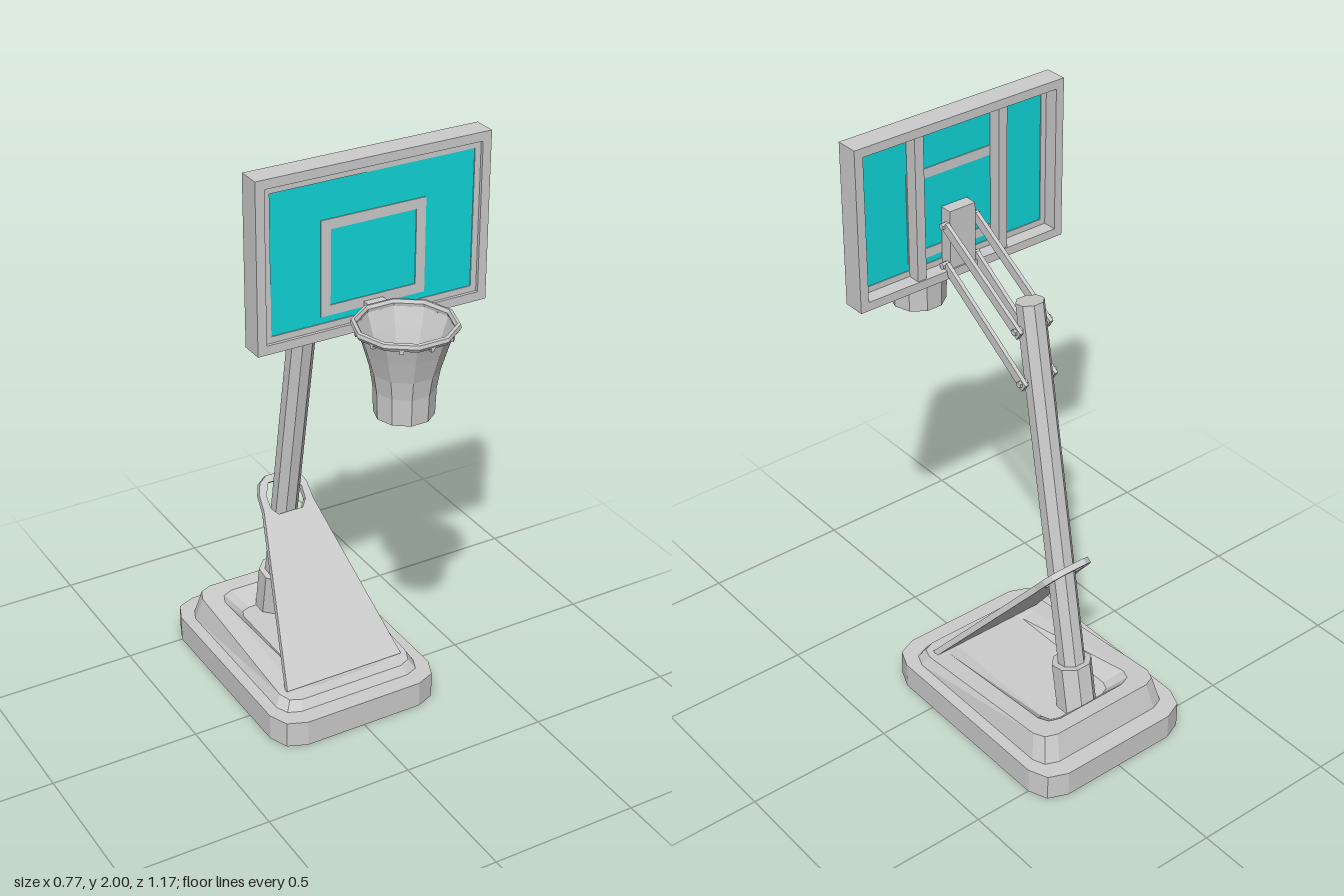
import * as THREE from 'three';

const grey = new THREE.MeshStandardMaterial({ color: 0xcccccc, side: THREE.DoubleSide });
grey.name = 'grey';
const teal = new THREE.MeshStandardMaterial({ color: 0x0fd6da });
teal.name = 'teal';

function add(parent, name, geometry, material = grey) {
  const flat = geometry.index ? geometry.toNonIndexed() : geometry;
  flat.computeVertexNormals();
  const mesh = new THREE.Mesh(flat, material);
  mesh.name = name;
  parent.add(mesh);
  return mesh;
}

// Box given by its min and max corners
function box(parent, name, x0, x1, y0, y1, z0, z1, material) {
  const g = new THREE.BoxGeometry(x1 - x0, y1 - y0, z1 - z0);
  g.translate((x0 + x1) / 2, (y0 + y1) / 2, (z0 + z1) / 2);
  return add(parent, name, g, material);
}

// Rectangular border in the xy plane, of even width
function border(parent, name, x, y0, y1, w, z0, z1) {
  const group = new THREE.Group();
  group.name = name;
  for (const s of [-1, 1]) {
    const a = s * x, b = s * (x - w);
    box(group, name + 'Side', Math.min(a, b), Math.max(a, b), y0, y1, z0, z1);
  }
  box(group, name + 'Bottom', w - x, x - w, y0, y0 + w, z0, z1);
  box(group, name + 'Top', w - x, x - w, y1 - w, y1, z0, z1);
  parent.add(group);
}

// Rounded rectangle with three points per corner; height is a function of z
function ring(hx, z0, z1, r, height) {
  const points = [];
  const corners = [[hx - r, z1 - r], [r - hx, z1 - r], [r - hx, z0 + r], [hx - r, z0 + r]];
  corners.forEach(([cx, cz], q) => {
    for (let k = 0; k < 3; k++) {
      const a = (q + k / 2) * Math.PI / 2;
      const z = cz + r * Math.sin(a);
      points.push([cx + r * Math.cos(a), height(z), z]);
    }
  });
  return points;
}

// Skin stacked rings and cap both ends
function loft(rings) {
  const n = rings[0].length, index = [];
  for (let i = 0; i < rings.length - 1; i++) {
    for (let j = 0; j < n; j++) {
      const a = i * n + j, b = i * n + (j + 1) % n;
      index.push(b, a, a + n, b, a + n, b + n);
    }
  }
  const top = (rings.length - 1) * n;
  for (let j = 1; j < n - 1; j++) {
    index.push(0, j, j + 1, top, top + j + 1, top + j);
  }
  const g = new THREE.BufferGeometry();
  g.setAttribute('position', new THREE.Float32BufferAttribute(rings.flat(2), 3));
  g.setIndex(index);
  return g;
}

// Place a y-aligned mesh between two points
function span(mesh, a, b) {
  mesh.position.copy(a).lerp(b, 0.5);
  mesh.quaternion.setFromUnitVectors(new THREE.Vector3(0, 1, 0), b.clone().sub(a).normalize());
  return mesh;
}

function prism(parent, name, radius, a, b, sides) {
  const g = new THREE.CylinderGeometry(radius, radius, a.distanceTo(b), sides);
  g.rotateY(Math.PI / sides);
  return span(add(parent, name, g), a, b);
}

export function createModel() {
  const model = new THREE.Group();
  const v = (x, y, z) => new THREE.Vector3(x, y, z);

  // Base slab and the sloping, hollowed step above it
  add(model, 'baseSlab', loft([
    ring(0.3, -0.59, 0.23, 0.09, () => 0),
    ring(0.3, -0.59, 0.23, 0.09, () => 0.09),
  ]));
  const slope = z => 0.12 + (0.15 - z) * 0.092;
  add(model, 'baseStep', loft([
    ring(0.26, -0.53, 0.17, 0.06, () => 0.09),
    ring(0.24, -0.505, 0.15, 0.055, slope),
    ring(0.18, -0.45, 0.11, 0.05, slope),
    ring(0.13, -0.4, 0.1, 0.04, () => 0.12),
  ]));

  // Leaning pole in its collar
  const onPole = y => v(0, y, -0.125 - 0.181 * (1.515 - y));
  prism(model, 'pole', 0.045, onPole(0.13), onPole(1.515), 8);
  prism(model, 'poleCollar', 0.066, onPole(0.115), onPole(0.28), 8);

  // Tapered brace plate with a loop round the pole
  const outline = [[0.215, 0], [0.093, 0.58], [0.09, 0.64], [0.075, 0.675], [0.045, 0.695]];
  const mirrored = outline.map(([x, y]) => [-x, y]).reverse();
  const plate = new THREE.Shape([...outline, ...mirrored].map(p => new THREE.Vector2(...p)));
  const half = [[0.045, 0.56], [0.065, 0.585], [0.066, 0.63], [0.045, 0.67]];
  const hole = [...half, ...half.map(([x, y]) => [-x, y]).reverse()];
  plate.holes.push(new THREE.Path(hole.map(p => new THREE.Vector2(...p))));
  const brace = add(model, 'bracePlate',
    new THREE.ExtrudeGeometry(plate, { depth: 0.02, bevelEnabled: false }));
  brace.position.set(0, 0.118, 0.088);
  brace.rotation.x = -Math.atan2(0.445, 0.535);

  // Backboard: frame, glass, painted lines on both faces, rear struts
  const board = new THREE.Group();
  board.name = 'backboard';
  model.add(board);
  border(board, 'boardFrame', 0.385, 1.465, 2, 0.029, 0.19, 0.265);
  box(board, 'boardGlass', -0.357, 0.357, 1.493, 1.972, 0.24, 0.252, teal);
  for (const [z0, z1] of [[0.252, 0.255], [0.237, 0.24]]) {
    border(board, 'edgeLine', 0.356, 1.494, 1.971, 0.02, z0, z1);
    border(board, 'targetLine', 0.174, 1.535, 1.835, 0.032, z0, z1);
  }
  for (const s of [-1, 1]) {
    box(board, 'rearStrut', s * 0.155 - 0.016, s * 0.155 + 0.016, 1.493, 1.972, 0.195, 0.237);
  }
  box(board, 'mountBracket', -0.048, 0.048, 1.48, 1.69, 0.195, 0.237);

  // Two pairs of parallel arms with cross bolts
  const arms = [
    ['upperArm', 1.64, 0.205, 1.425, -0.15],
    ['lowerArm', 1.505, 0.205, 1.255, -0.175],
  ];
  for (const [name, y0, z0, y1, z1] of arms) {
    for (const s of [-1, 1]) {
      const a = v(s * 0.057, y0, z0), b = v(s * 0.057, y1, z1);
      span(add(model, name, new THREE.BoxGeometry(0.013, a.distanceTo(b), 0.032)), a, b);
    }
    for (const [y, z] of [[y0, z0 + 0.005], [y1 + 0.01, z1 + 0.015]]) {
      prism(model, 'armBolt', 0.011, v(-0.071, y, z), v(0.071, y, z), 6);
    }
  }

  // Ten-sided rim, hooks, net and connector
  const hoop = new THREE.Group();
  hoop.name = 'hoop';
  hoop.position.z = 0.433;
  model.add(hoop);
  const lathe = points => new THREE.LatheGeometry(
    points.map(p => new THREE.Vector2(...p)), 10, Math.PI / 2);
  add(hoop, 'rim', lathe([[0.142, 1.538], [0.152, 1.534], [0.159, 1.545], [0.156, 1.556],
    [0.146, 1.558], [0.14, 1.548], [0.142, 1.538]]));
  add(hoop, 'net', lathe([[0.09, 1.265], [0.093, 1.35], [0.103, 1.41], [0.124, 1.48],
    [0.144, 1.54]]));
  for (let i = 0; i < 10; i++) {
    const a = (i + 0.5) * Math.PI / 5;
    const hook = add(hoop, 'netHook', new THREE.BoxGeometry(0.012, 0.014, 0.012));
    hook.position.set(0.141 * Math.cos(a), 1.532, 0.141 * Math.sin(a));
    hook.rotation.y = -a;
  }
  box(model, 'rimConnector', -0.032, 0.032, 1.52, 1.552, 0.25, 0.292);

  return model;
}
